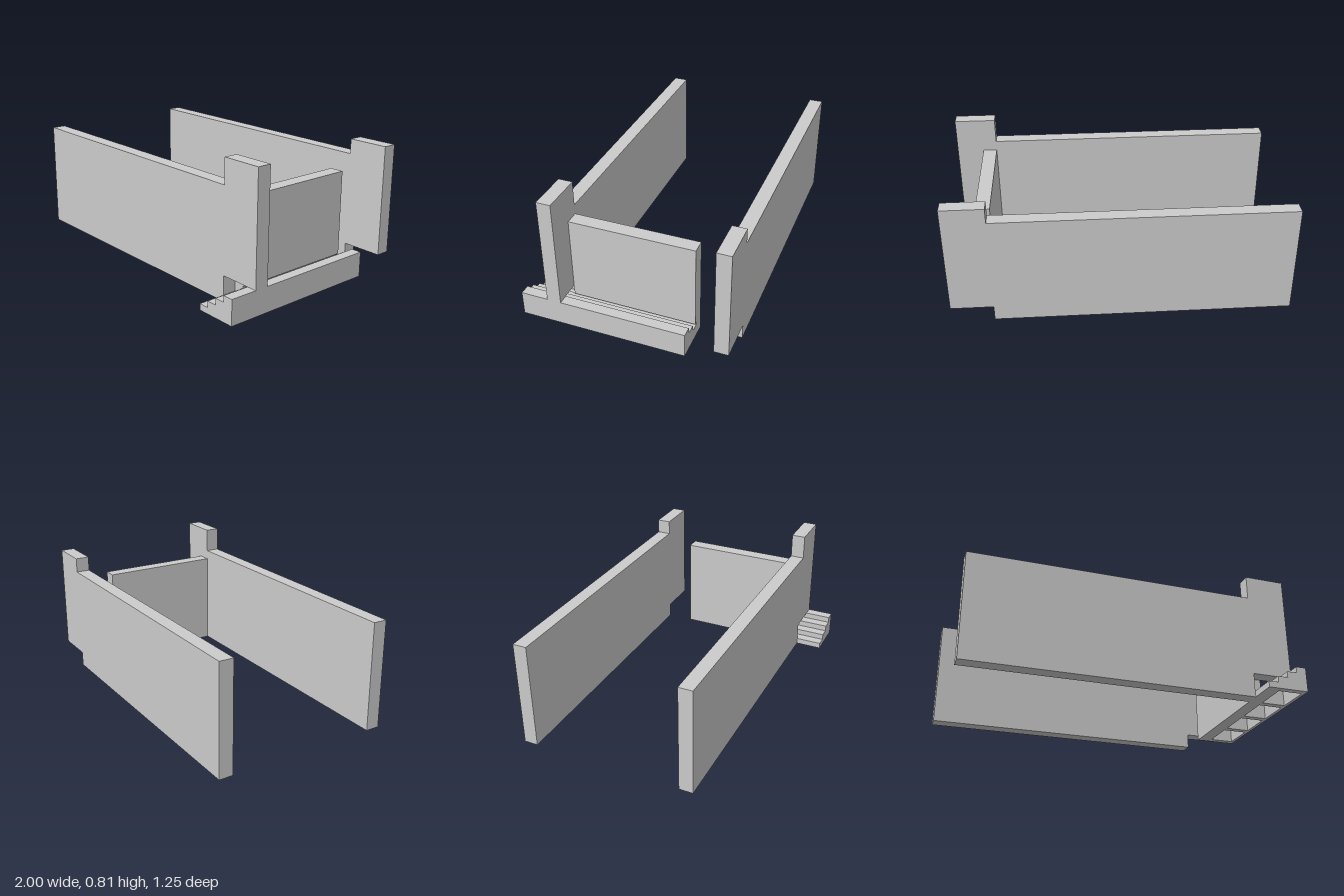
import * as THREE from 'three';

const material = new THREE.MeshStandardMaterial({ color: 0xcccccc, flatShading: true });

// Extrude an x-y outline from z0 to z1
function slab(name, points, z0, z1) {
  const shape = new THREE.Shape(points.map(([x, y]) => new THREE.Vector2(x, y)));
  const geometry = new THREE.ExtrudeGeometry(shape, { depth: z1 - z0, bevelEnabled: false });
  geometry.translate(0, 0, z0);
  const mesh = new THREE.Mesh(geometry, material);
  mesh.name = name;
  return mesh;
}

// Long wall whose end section is raised by a given step, leaving a notch below
function sideWall(name, step, z0, z1) {
  return slab(name, [
    [-1, 0], [0.75, 0], [0.75, step], [1, step],
    [1, 0.66 + step], [0.75, 0.66 + step], [0.75, 0.66], [-1, 0.66],
  ], z0, z1);
}

export function createModel() {
  const model = new THREE.Group();
  model.name = 'walledStairs';

  model.add(sideWall('frontWall', 0.15, 0.375, 0.46));
  model.add(sideWall('backWall', 0.09, -0.625, -0.54));

  // Cross wall, notched underneath where it meets the steps
  model.add(slab('crossWall', [
    [0.75, 0.0375], [0.8125, 0.0375], [0.8125, 0.09], [0.835, 0.09],
    [0.835, 0.6], [0.75, 0.6],
  ], -0.375, 0.375));

  // Four steps rising towards +x
  const run = 0.0625, rise = 0.0375, skin = 0.02;
  const top = [];
  for (let i = 0; i < 4; i++) {
    const x = 0.75 + i * run, y = (i + 1) * rise;
    top.push([x, y], [x + run, y]);
  }
  const solid = [[0.75, 0], ...top, [1, 0]];

  // Hollow section used between the stringers, open at the bottom
  const inner = [[1 - skin, 0]];
  for (let i = 3; i >= 1; i--) {
    const x = 0.75 + i * run + skin, y = (i + 1) * rise - skin;
    inner.push([Math.min(x + run, 1 - skin), y], [x, y]);
  }
  inner.push([0.75 + run + skin, 0]);
  const hollow = [...solid, ...inner];

  const stairs = new THREE.Group();
  stairs.name = 'stairs';
  const pitch = 0.24, width = 0.04;
  for (let i = 0; i < 5; i++) {
    const z = -0.375 + i * pitch;
    stairs.add(slab('stringer', solid, z, z + width));
    if (i < 4) stairs.add(slab('treads', hollow, z + width, z + pitch));
  }
  model.add(stairs);
  return model;
}
